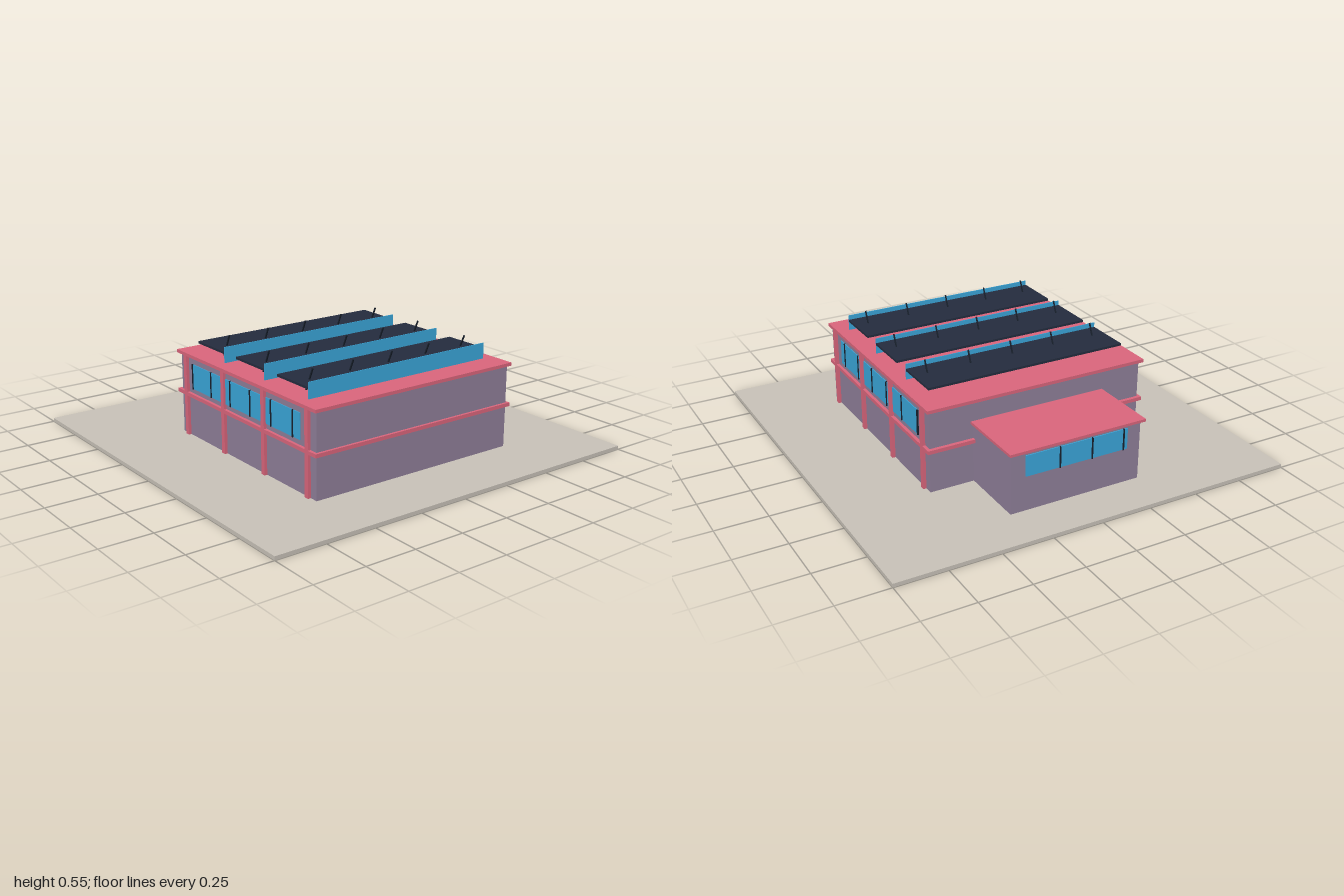
import * as THREE from 'three';

const mat = (color) => new THREE.MeshStandardMaterial({ color });

export function createModel() {
  const model = new THREE.Group();
  const wall = mat(0x8f7f99), trim = mat(0xda667c), glass = mat(0x3aa6d9);
  const dark = mat(0x242c3e), paving = mat(0xc8c2b8), frame = mat(0x18202c);

  // Box given by its extents along each axis
  const box = (name, material, [x0, x1], [y0, y1], [z0, z1], parent = model) => {
    const mesh = new THREE.Mesh(new THREE.BoxGeometry(x1 - x0, y1 - y0, z1 - z0), material);
    mesh.position.set((x0 + x1) / 2, (y0 + y1) / 2, (z0 + z1) / 2);
    mesh.name = name;
    parent.add(mesh);
    return mesh;
  };

  box('ground', paving, [-1, 1], [0, 0.018], [-1, 1]);

  // Main hall with floor band and roof slab
  box('hallWalls', wall, [-0.556, 0.556], [0.018, 0.422], [-0.438, 0.67]);
  box('floorBand', trim, [-0.571, 0.571], [0.221, 0.239], [-0.456, 0.683]);
  box('hallRoof', trim, [-0.571, 0.571], [0.421, 0.437], [-0.456, 0.683]);

  // Columns and window strip on both long sides
  for (const side of [-1, 1]) {
    const span = (a, b) => (side > 0 ? [a, b] : [-b, -a]);
    const group = new THREE.Group();
    group.name = side > 0 ? 'leftSide' : 'rightSide';
    model.add(group);
    for (let i = 0; i < 4; i++) {
      const z = 0.615 - i * 0.333;
      box('column', trim, span(0.546, 0.571), [0.018, 0.422], [z - 0.0125, z + 0.0125], group);
    }
    box('windowStrip', glass, span(0.55, 0.56), [0.263, 0.387], [-0.333, 0.555], group);
    for (let i = 0; i < 6; i++) {
      const z = 0.503 - i * 0.1667;
      box('mullion', frame, span(0.553, 0.564), [0.262, 0.388], [z - 0.003, z + 0.003], group);
    }
  }

  // Rear annex with its own roof and window
  box('annexWalls', wall, [-0.335, 0.335], [0.018, 0.313], [-0.776, -0.43]);
  box('annexRoof', trim, [-0.351, 0.349], [0.312, 0.325], [-0.795, -0.437]);
  box('annexWindow', glass, [-0.265, 0.262], [0.19, 0.293], [-0.781, -0.77]);
  for (let i = 0; i < 3; i++) {
    const x = 0.09 - i * 0.1667;
    box('annexMullion', frame, [x - 0.003, x + 0.003], [0.189, 0.294], [-0.786, -0.773]);
  }

  // Rooftop rows: upright blue screen, flat dark panel, leaning struts
  for (let row = 0; row < 3; row++) {
    const group = new THREE.Group();
    group.name = 'roofPanelRow';
    group.position.z = -row * 0.334;
    model.add(group);
    box('screen', glass, [-0.512, 0.512], [0.437, 0.514], [0.55, 0.554], group);
    box('panel', dark, [-0.512, 0.512], [0.48, 0.491], [0.317, 0.55], group);
    for (let i = -2; i <= 2; i++) {
      const strut = box('strut', frame, [-0.003, 0.003], [-0.0615, 0.0615], [-0.003, 0.003], group);
      strut.position.set(i * 0.222, 0.491, 0.466);
      strut.rotation.x = Math.atan2(0.05, 0.112);
    }
  }
  return model;
}
